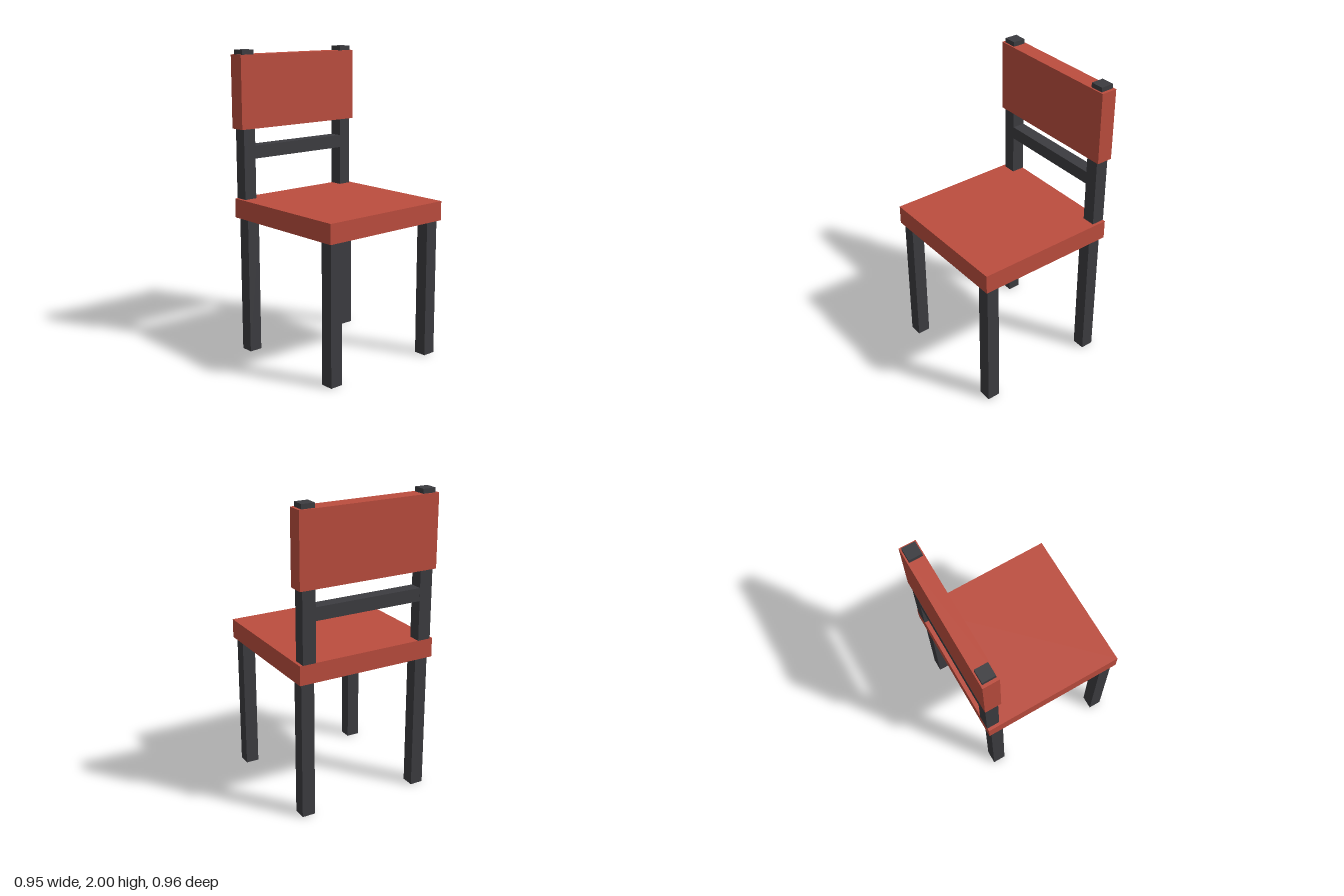
import * as THREE from 'three';

export function createModel() {
  const chair = new THREE.Group();
  chair.name = 'chair';
  const red = new THREE.MeshStandardMaterial({ color: 0xbc4d3e });
  const dark = new THREE.MeshStandardMaterial({ color: 0x3c3c40 });

  // box given by its extents along each axis
  const box = (name, material, [x0, x1], [y0, y1], [z0, z1]) => {
    const mesh = new THREE.Mesh(new THREE.BoxGeometry(x1 - x0, y1 - y0, z1 - z0), material);
    mesh.position.set((x0 + x1) / 2, (y0 + y1) / 2, (z0 + z1) / 2);
    mesh.name = name;
    chair.add(mesh);
  };

  // seat slab and backrest panel
  box('seat', red, [-0.475, 0.475], [0.91, 1.037], [-0.47, 0.48]);
  box('backrest', red, [-0.475, 0.475], [1.497, 1.97], [-0.482, -0.374]);

  // legs and back posts, mirrored left and right
  for (const [side, x] of [['left', [0.367, 0.455]], ['right', [-0.455, -0.367]]]) {
    box(side + 'FrontLeg', dark, x, [0, 0.91], [0.375, 0.46]);
    box(side + 'BackLeg', dark, x, [0, 0.91], [-0.447, -0.361]);
    box(side + 'BackPost', dark, x, [1.037, 2], [-0.472, -0.385]);
  }

  // rail between the back posts
  box('backRail', dark, [-0.367, 0.367], [1.3, 1.385], [-0.471, -0.386]);

  return chair;
}
